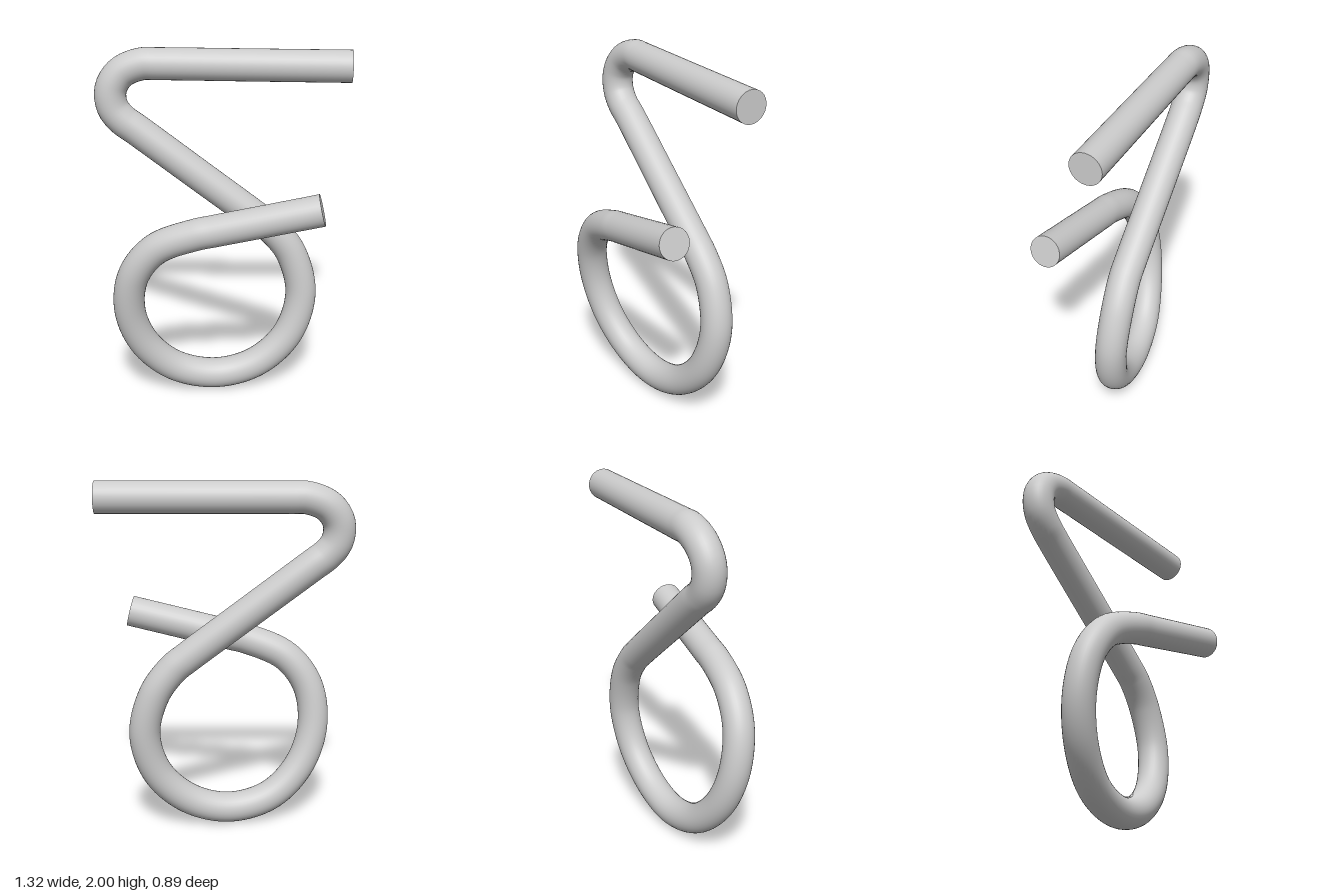
import * as THREE from 'three';

const RADIUS = 0.0875;

// Centre line of the bent rod, from the upper end to the lower end
const PATH = [
  // upper straight arm
  [0.62, 1.912, -0.365], [0.1, 1.912, -0.141], [-0.34, 1.912, 0.048], [-0.42, 1.91, 0.082],
  // tight bend
  [-0.515, 1.868, 0.128], [-0.562, 1.8, 0.158], [-0.572, 1.735, 0.168],
  [-0.556, 1.662, 0.163], [-0.51, 1.6, 0.143],
  // diagonal
  [-0.45, 1.55, 0.113], [-0.13, 1.285, -0.03], [0.18, 1.028, -0.168], [0.25, 0.965, -0.2],
  // round loop
  [0.345, 0.82, -0.248], [0.405, 0.575, -0.262], [0.352, 0.325, -0.205], [0.2, 0.152, -0.1],
  [0, 0.0895, 0.02], [-0.2, 0.15, 0.15], [-0.335, 0.32, 0.265], [-0.387, 0.55, 0.337],
  [-0.345, 0.785, 0.356], [-0.22, 0.955, 0.322],
  // lower straight arm
  [-0.01, 1.052, 0.251], [0.08, 1.076, 0.215], [0.35, 1.146, 0.108], [0.62, 1.216, 0],
];

export function createModel() {
  const group = new THREE.Group();
  group.name = 'bentRod';
  const material = new THREE.MeshStandardMaterial({ color: 0xcccccc });
  const curve = new THREE.CatmullRomCurve3(PATH.map((p) => new THREE.Vector3(...p)));
  curve.arcLengthDivisions = 800;

  // Rod
  const rod = new THREE.Mesh(new THREE.TubeGeometry(curve, 240, RADIUS, 32, false), material);
  rod.name = 'rod';
  group.add(rod);

  // Flat end faces, square to the rod
  for (const [name, t, sign] of [['upperEnd', 0, -1], ['lowerEnd', 1, 1]]) {
    const cap = new THREE.Mesh(new THREE.CircleGeometry(RADIUS, 32), material);
    cap.name = name;
    cap.position.copy(curve.getPointAt(t));
    const outward = curve.getTangentAt(t).multiplyScalar(sign);
    cap.quaternion.setFromUnitVectors(new THREE.Vector3(0, 0, 1), outward);
    group.add(cap);
  }
  return group;
}
